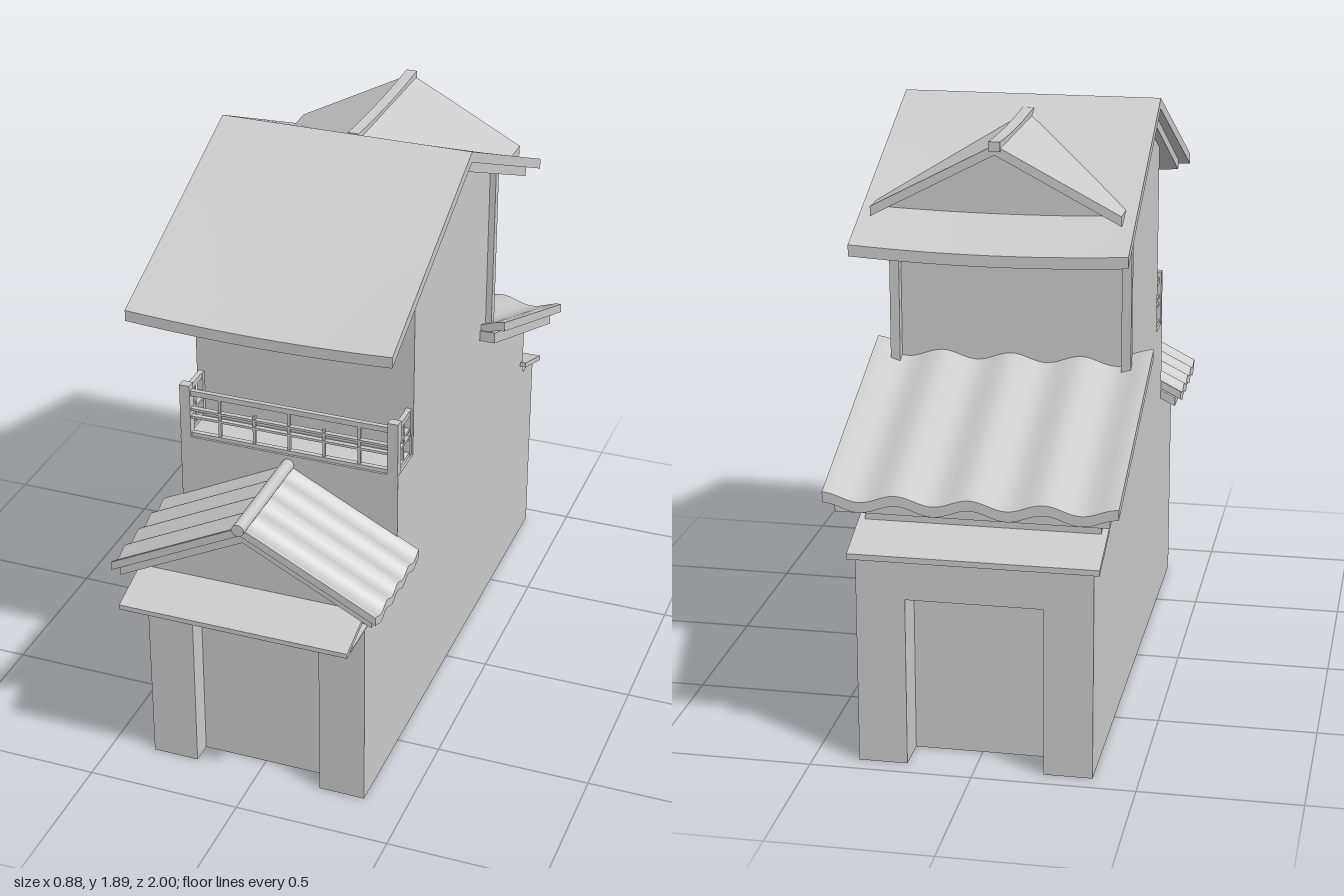
import * as THREE from 'three';
import { toCreasedNormals } from 'three/addons/utils/BufferGeometryUtils.js';

const mat = new THREE.MeshStandardMaterial({ color: 0xcccccc, side: THREE.DoubleSide });

export function createModel() {
  const model = new THREE.Group();

  function add(name, geometry, parent = model) {
    const mesh = new THREE.Mesh(geometry, mat);
    mesh.name = name;
    parent.add(mesh);
    return mesh;
  }

  function box(name, w, h, d, x, y, z, parent) {
    return add(name, new THREE.BoxGeometry(w, h, d).translate(x, y, z), parent);
  }

  // Slab whose top follows f(u, v) -> [x, y, z], u in -1..1, v in 0..1 (back to front)
  function slab(name, nu, nv, thickness, f) {
    const g = new THREE.BoxGeometry(2, 1, 1, nu, 1, nv);
    const p = g.attributes.position;
    for (let i = 0; i < p.count; i++) {
      const [x, y, z] = f(p.getX(i), p.getZ(i) + 0.5);
      p.setXYZ(i, x, p.getY(i) > 0 ? y : y - thickness, z);
    }
    return add(name, toCreasedNormals(g, 0.35));
  }

  // Outline in x and y, extruded from z0 to z1
  function prism(name, points, z0, z1) {
    const shape = new THREE.Shape(points.map(([x, y]) => new THREE.Vector2(x, y)));
    const g = new THREE.ExtrudeGeometry(shape, { depth: z1 - z0, bevelEnabled: false });
    return add(name, g.translate(0, 0, z0));
  }

  const lerp = THREE.MathUtils.lerp;

  // House body: side profile in z and y, extruded across the width
  const profile = [[0.75, 0], [0.75, 0.72], [0.53, 0.72], [0.53, 1.02], [0.39, 1.02], [0.39, 1.66], [0.02, 1.83],
    [-0.34, 1.67], [-0.34, 1.08], [-0.81, 0.89], [-0.81, 0.72], [-0.82, 0.68], [-0.82, 0]];
  prism('houseBody', profile, -0.36, 0.36).geometry.rotateY(-Math.PI / 2);

  // Walls around the recessed doorways
  const doorWall = (h) => [[-0.36, 0], [-0.21, 0], [-0.21, 0.535], [0.21, 0.535], [0.21, 0],
    [0.36, 0], [0.36, h], [-0.36, h]];
  prism('frontDoorWall', doorWall(0.725), 0.75, 0.82);
  prism('backDoorWall', doorWall(0.685), -0.94, -0.82);

  // Corner pillars of the upper storey
  for (const s of [-1, 1]) box('backPillar', 0.03, 0.62, 0.03, s * 0.365, 1.37, -0.355);

  // Awnings above both doors
  slab('frontAwning', 1, 1, 0.016, (u, v) => [u * 0.37, lerp(0.738, 0.677, v), lerp(0.8, 1.0, v)]);
  box('frontAwningSoffit', 0.74, 0.004, 0.18, 0, 0.664, 0.91);
  slab('backAwning', 1, 1, 0.018, (u, v) => [u * 0.38, lerp(0.68, 0.745, v), lerp(-0.965, -0.78, v)]);

  // Main roof: two layers, sagging slightly between lifted corners
  const mainY = (u, z) => {
    const d = Math.abs(z - 0.02) / 0.74;
    return 1.89 - 0.33 * d - 0.014 * d * (1 - u * u);
  };
  slab('mainRoof', 12, 24, 0.035, (u, v) => {
    const z = lerp(-0.72, 0.76, v);
    return [u * (0.41 + 0.012 * Math.abs(z - 0.02)), mainY(u, z), z];
  });
  slab('mainRoofUnderlayer', 12, 24, 0.035, (u, v) => {
    const z = lerp(-0.68, 0.72, v) * 0.98;
    return [u * 0.385, mainY(u, z) - 0.034, z];
  });

  // Rear dormer running back from the main roof
  slab('dormerRoof', 8, 6, 0.03, (u, v) => {
    const x = u * 0.38, y = 1.85 - 0.525 * Math.abs(x);
    return [x, y, lerp(-0.6, -0.05 - 1.177 * Math.abs(x), v)];
  });
  prism('dormerGable', [[-0.35, 1.61], [0.35, 1.61], [0.35, 1.645], [0, 1.825], [-0.35, 1.645]], -0.54, -0.46);
  slab('dormerRidge', 2, 8, 0.03, (u, v) =>
    [u * 0.018, 1.853 + 0.008 * (2 * v - 1) ** 2, lerp(-0.605, -0.05, v)]);

  // Corrugated lean-to roof at the back
  const leanY = (z) => lerp(1.145, 0.87, (-0.29 - z) / 0.71);
  slab('backRoofTiles', 64, 1, 0.032, (u, v) => {
    const z = lerp(-1.0, -0.29, v);
    return [u * 0.44, leanY(z) + 0.013 * Math.cos(u * 4 * Math.PI), z];
  });
  slab('backRoofBoards', 1, 1, 0.038, (u, v) => {
    const z = lerp(-0.97, -0.28, v);
    return [u * 0.41, leanY(z) - 0.03, z];
  });

  // Front porch roof: corrugated slopes, boards, gable and ridge
  const porchY = (x) => 0.98 - 0.51 * Math.abs(x);
  slab('porchRoofTiles', 2, 48, 0.028, (u, v) =>
    [u * 0.43, porchY(u * 0.43) + 0.008 * Math.cos(v * 8 * Math.PI), lerp(0.525, 0.92, v)]);
  slab('porchRoofBoards', 2, 1, 0.03, (u, v) =>
    [u * 0.41, porchY(u * 0.41) - 0.026, lerp(0.525, 0.9, v)]);
  prism('porchGable', [[-0.36, 0.71], [0.36, 0.71], [0.36, 0.75], [0, 0.935], [-0.36, 0.75]], 0.53, 0.84);
  add('porchRidge', new THREE.CylinderGeometry(0.02, 0.02, 0.41, 16).rotateX(Math.PI / 2).translate(0, 0.987, 0.73));

  // Balcony railing: posts, rails and lattice bars
  const railing = new THREE.Group();
  railing.name = 'balconyRailing';
  model.add(railing);
  const rails = [[1.025, 0.016], [1.088, 0.008], [1.115, 0.008], [1.172, 0.018]];
  for (const [y, h] of rails) {
    box('frontRail', 0.68, h, 0.016, 0, y, 0.515, railing);
    for (const s of [-1, 1]) box('sideRail', 0.016, h, 0.125, s * 0.345, y, 0.4525, railing);
  }
  for (let i = -2; i <= 2; i++) {
    const h = i % 2 ? 0.11 : 0.15;
    box('frontBar', 0.009, h, 0.01, i * 0.115, 1.02 + h / 2, 0.515, railing);
  }
  for (const s of [-1, 1]) {
    box('cornerPost', 0.034, 0.18, 0.03, s * 0.342, 1.11, 0.515, railing);
    box('wallPost', 0.02, 0.16, 0.014, s * 0.345, 1.1, 0.397, railing);
    box('sideBar', 0.01, 0.15, 0.009, s * 0.345, 1.095, 0.45, railing);
  }

  return model;
}
